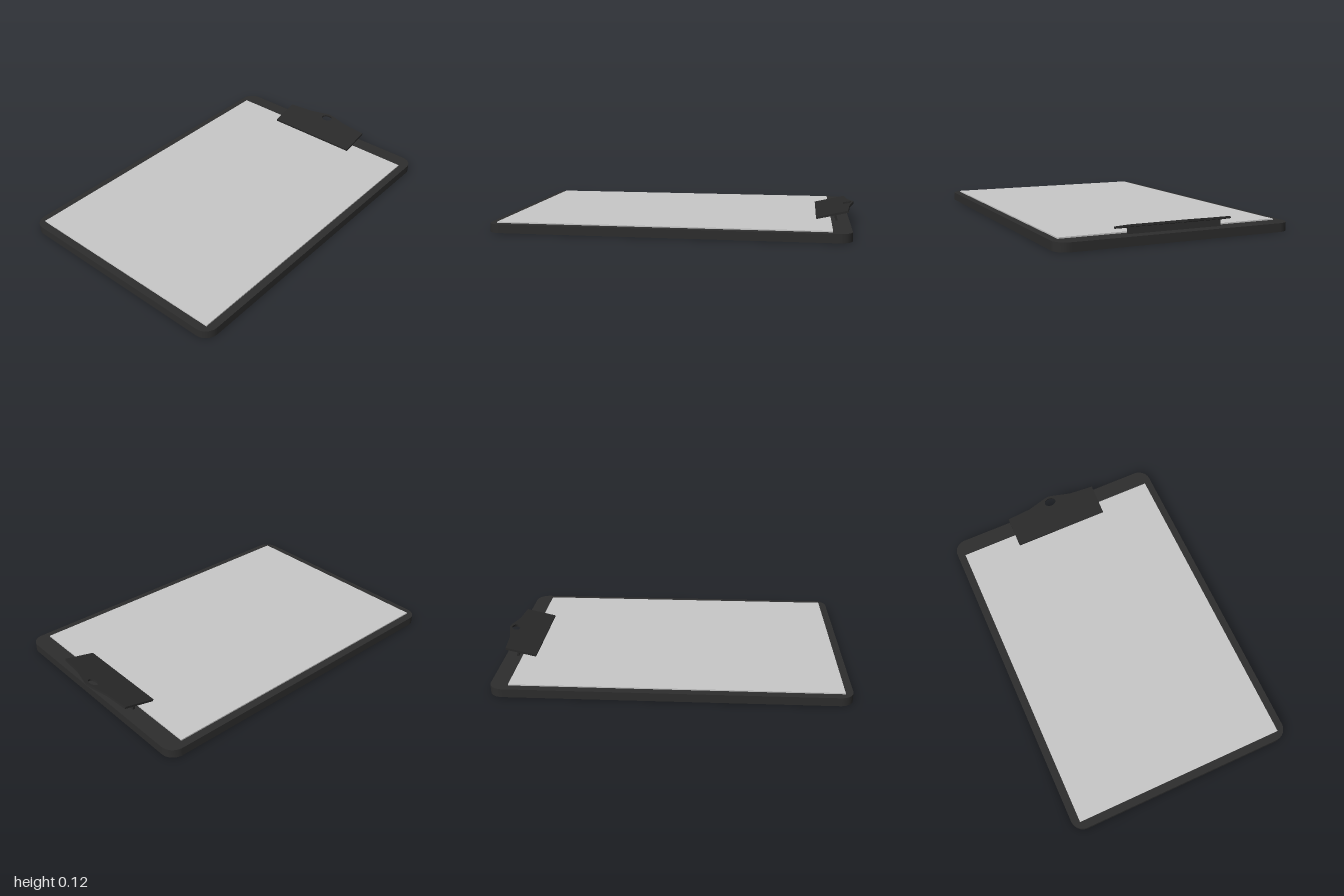
import * as THREE from 'three';

const material = (name, color) => {
  const m = new THREE.MeshStandardMaterial({ color });
  m.name = name;
  return m;
};

export function createModel() {
  const group = new THREE.Group();
  const boardBlack = material('board black', 0x2d2d2d);
  const clipBlack = material('clip black', 0x292929);
  const paperGrey = material('paper grey', 0xc8c8c8);

  const add = (name, geometry, mat) => {
    const mesh = new THREE.Mesh(geometry, mat);
    mesh.name = name;
    group.add(mesh);
    return mesh;
  };

  // Board: rounded slab lying flat (shape y runs towards -z)
  const w = 0.675, front = -1, back = 0.965, r = 0.075;
  const outline = new THREE.Shape();
  outline.moveTo(-w + r, front);
  outline.absarc(w - r, front + r, r, -Math.PI / 2, 0);
  outline.absarc(w - r, back - r, r, 0, Math.PI / 2);
  outline.absarc(-w + r, back - r, r, Math.PI / 2, Math.PI);
  outline.absarc(-w + r, front + r, r, Math.PI, Math.PI * 1.5);
  const slab = new THREE.ExtrudeGeometry(outline, { depth: 0.048, bevelEnabled: false, curveSegments: 8 });
  add('board', slab.rotateX(-Math.PI / 2), boardBlack);

  // Sheet stack on the board
  add('paper', new THREE.BoxGeometry(1.26, 0.007, 1.818), paperGrey).position.set(0, 0.0515, 0.046);

  // Clip plate: peaked back edge with a hanging hole, tilted up to the back
  const plate = new THREE.Shape();
  plate.moveTo(-0.29, 0);
  plate.lineTo(0.29, 0);
  plate.lineTo(0.29, 0.182);
  plate.lineTo(0.14, 0.193);
  plate.lineTo(0.02, 0.223);
  plate.quadraticCurveTo(0, 0.228, -0.02, 0.223);
  plate.lineTo(-0.14, 0.193);
  plate.lineTo(-0.29, 0.182);
  plate.closePath();
  const hole = new THREE.Path();
  hole.absellipse(0, 0.188, 0.036, 0.024, 0, Math.PI * 2, true);
  plate.holes.push(hole);
  const clip = add('clipPlate',
    new THREE.ExtrudeGeometry(plate, { depth: 0.012, bevelEnabled: false, curveSegments: 10 }), clipBlack);
  clip.rotation.x = -Math.PI / 2 + 0.225;
  clip.position.set(0, 0.056, -0.782);

  // Upright that carries the clip
  const support = add('clipSupport', new THREE.BoxGeometry(0.54, 0.042, 0.012), clipBlack);
  support.position.set(0, 0.065, -0.89);
  support.rotation.x = 0.225;

  return group;
}
